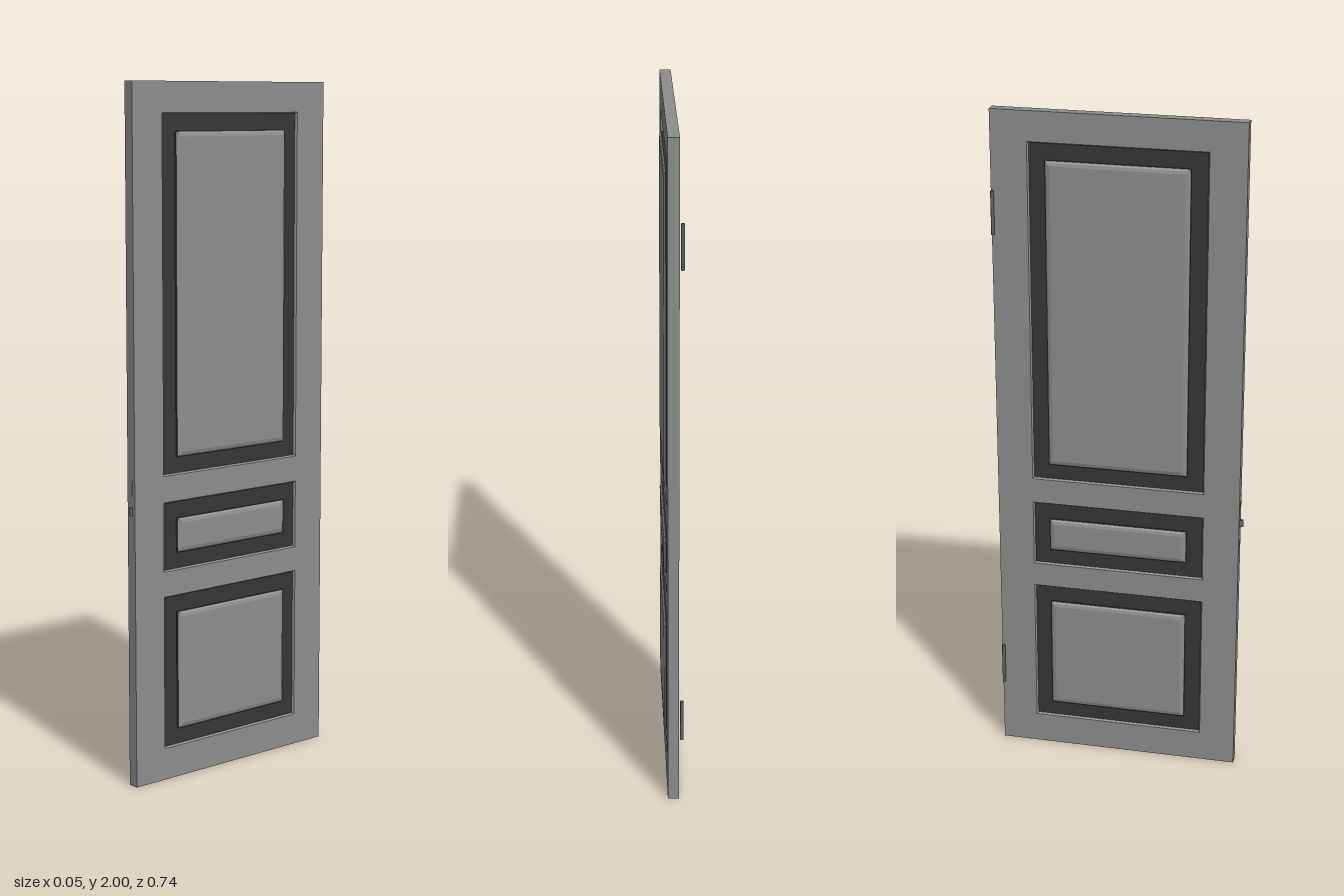
import * as THREE from 'three';

const material = color => new THREE.MeshStandardMaterial({ color, flatShading: true });
const grey = material(0x8e8e8e), dark = material(0x363636), metal = material(0x626262);

const CX = 0.0022, CZ = -0.0055;       // centre of the slab
const HALF_T = 0.016, HALF_W = 0.3625; // half thickness, half width
const RECESS_W = 0.257, FLOOR = 0.0095; // half recess width, floor height from mid-plane
// bottom and top of each recess
const recesses = [[0.093, 0.543], [0.616, 0.818], [0.894, 1.913]];

// Joins nested rectangles, each given as [inset, height], facing +z
function rectLoft(w, y0, y1, steps, cap) {
  const pos = [], idx = [];
  for (const [i, h] of steps)
    pos.push(-w + i, y0 + i, h, w - i, y0 + i, h, w - i, y1 - i, h, -w + i, y1 - i, h);
  for (let s = 0; s < steps.length - 1; s++)
    for (let k = 0; k < 4; k++) {
      const a = s * 4 + k, b = s * 4 + (k + 1) % 4;
      idx.push(a, b, b + 4, a, b + 4, a + 4);
    }
  const l = (steps.length - 1) * 4;
  if (cap) idx.push(l, l + 1, l + 2, l, l + 2, l + 3);
  const g = new THREE.BufferGeometry();
  g.setAttribute('position', new THREE.Float32BufferAttribute(pos, 3));
  g.setIndex(idx);
  const flat = g.toNonIndexed();
  flat.computeVertexNormals();
  return flat;
}

function rectPath(Type, w, y0, y1) {
  const p = new Type();
  p.moveTo(-w, y0).lineTo(w, y0).lineTo(w, y1).lineTo(-w, y1).closePath();
  return p;
}

export function createModel() {
  const model = new THREE.Group();
  model.name = 'door';
  const add = (parent, name, geo, mat, x = 0, y = 0, z = 0) => {
    const m = new THREE.Mesh(geo, mat);
    m.name = name;
    m.position.set(x, y, z);
    parent.add(m);
  };

  // Leaf is built facing +z, then turned so its faces point along x
  const leaf = new THREE.Group();
  leaf.name = 'leaf';
  leaf.rotation.y = Math.PI / 2;
  leaf.position.set(CX, 0, CZ);
  model.add(leaf);

  // Slab with three openings
  const outline = rectPath(THREE.Shape, HALF_W, 0, 2);
  for (const [y0, y1] of recesses) outline.holes.push(rectPath(THREE.Path, RECESS_W, y0, y1));
  const slab = new THREE.ExtrudeGeometry(outline, { depth: HALF_T * 2, bevelEnabled: false });
  add(leaf, 'slab', slab, grey, 0, 0, -HALF_T);

  // Recess lip, dark groove and raised panel on both faces
  for (const turn of [0, Math.PI]) {
    const face = new THREE.Group();
    face.name = turn ? 'rightFace' : 'leftFace';
    face.rotation.y = turn;
    leaf.add(face);
    for (const [y0, y1] of recesses) {
      const loft = (steps, cap) => rectLoft(RECESS_W, y0, y1, steps, cap);
      add(face, 'recessLip', loft([[0, HALF_T], [0.004, FLOOR]], false), grey);
      add(face, 'groove', loft([[0.004, FLOOR], [0.051, FLOOR], [0.051, HALF_T]], false), dark);
      add(face, 'raisedPanel', loft([[0.051, HALF_T], [0.056, 0.02], [0.065, 0.0225]], true), grey);
    }
  }

  // Hinge barrels along the rear edge
  for (const y of [0.265, 1.705])
    add(model, 'hinge', new THREE.CylinderGeometry(0.005, 0.005, 0.128, 16), metal, -0.0224, y, -0.3625);

  // Flush lock plate and wedge-shaped latch on the front edge
  const edge = CZ + HALF_W;
  add(model, 'lockPlate', new THREE.BoxGeometry(0.01, 0.18, 0.001), grey, CX, 0.805, edge);
  const wedge = new THREE.Shape();
  wedge.moveTo(-0.006, 0).lineTo(0.006, 0).lineTo(0.006, -0.01).lineTo(0.003, -0.01).closePath();
  const latch = new THREE.ExtrudeGeometry(wedge, { depth: 0.022, bevelEnabled: false });
  latch.rotateX(-Math.PI / 2);
  add(model, 'latch', latch, metal, CX, 0.794, edge);

  return model;
}
